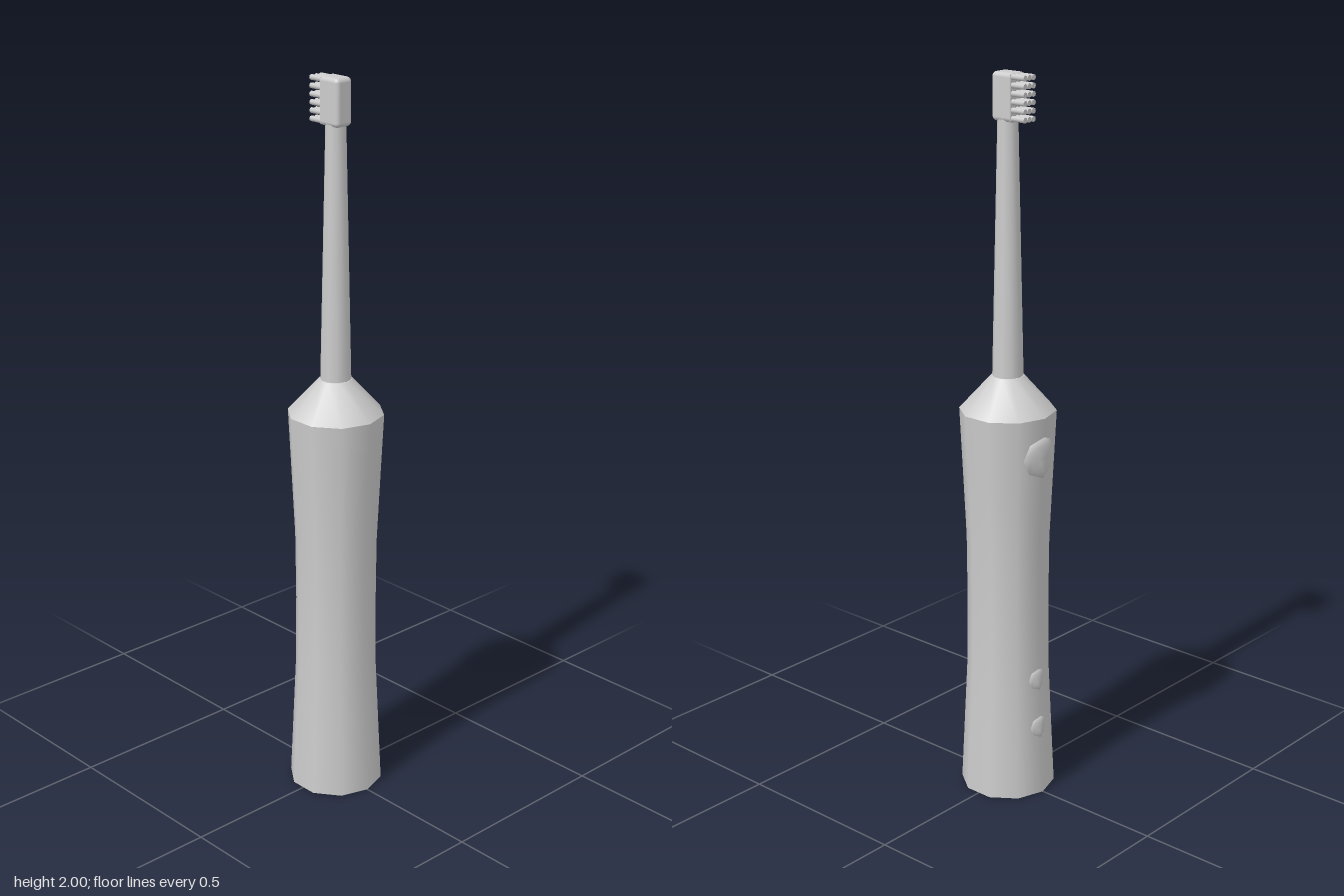
import * as THREE from 'three';
import { RoundedBoxGeometry } from 'three/addons/geometries/RoundedBoxGeometry.js';

const SIDES = 10;
const CZ = 0.001; // axis of the handle
const profile = [[0.131, 0], [0.122, 0.19], [0.1135, 0.37], [0.112, 0.55], [0.1135, 0.74], [0.122, 0.92], [0.131, 1.105]];

// Handle radius at a height
function radiusAt(y) {
  for (let i = 1; i < profile.length; i++) {
    const [r0, y0] = profile[i - 1], [r1, y1] = profile[i];
    if (y <= y1) return r0 + (r1 - r0) * (y - y0) / (y1 - y0);
  }
  return profile[profile.length - 1][0];
}

// Low dome that follows the two back facets of the handle
function buttonGeometry(cy, radius, lift) {
  const rings = [[0.35, 1], [0.72, 0.95], [1, 0.1], [1, -1]];
  const n = 8, pos = [], idx = [];
  const add = (x, y, k) => pos.push(x, y, CZ - (radiusAt(y) - Math.abs(x) * Math.tan(Math.PI / SIDES) + lift * k));
  add(0, cy, 1);
  for (const [s, k] of rings) {
    for (let i = 0; i < n; i++) {
      const a = (i / n) * Math.PI * 2;
      add(Math.cos(a) * radius * s, cy + Math.sin(a) * radius * s, k);
    }
  }
  for (let i = 0; i < n; i++) {
    const j = (i + 1) % n;
    idx.push(0, 1 + j, 1 + i);
    for (let r = 0; r < rings.length - 1; r++) {
      const a = 1 + r * n, b = a + n;
      idx.push(a + i, a + j, b + i, a + j, b + j, b + i);
    }
  }
  const g = new THREE.BufferGeometry();
  g.setAttribute('position', new THREE.Float32BufferAttribute(pos, 3));
  g.setIndex(idx);
  g.computeVertexNormals();
  return g;
}

export function createModel() {
  const group = new THREE.Group();
  group.name = 'electricToothbrush';
  const grey = new THREE.MeshStandardMaterial({ color: 0xcccccc });
  grey.name = 'light grey';

  const add = (name, geometry, x = 0, y = 0, z = 0, parent = group) => {
    const mesh = new THREE.Mesh(geometry, grey);
    mesh.name = name;
    mesh.position.set(x, y, z);
    parent.add(mesh);
    return mesh;
  };
  const lathe = (name, points) =>
    add(name, new THREE.LatheGeometry(points.map(p => new THREE.Vector2(...p)), SIDES), 0, 0, CZ);

  // Handle, base, sloped collar and neck
  lathe('handle', profile);
  lathe('base', [[0, 0], [0.131, 0]]);
  lathe('collar', [[0.131, 1.105], [0.045, 1.2]]);
  lathe('collarTop', [[0.045, 1.2], [0, 1.2]]);
  lathe('neck', [[0.042, 1.195], [0.027, 1.885]]);

  // Brush head: rounded in front, cut flat behind
  const head = new RoundedBoxGeometry(0.055, 0.125, 0.09, 3, 0.012);
  const p = head.attributes.position;
  for (let i = 0; i < p.count; i++) {
    if (p.getZ(i) < -0.018) p.setZ(i, -0.018);
  }
  add('brushHead', head, 0, 1.9375, -0.01);
  // Flat plate carrying the bristles
  add('bristlePlate', new THREE.BoxGeometry(0.051, 0.117, 0.004), 0, 1.9375, -0.0275);

  // Bristle tufts
  const bristles = new THREE.Group();
  bristles.name = 'bristles';
  group.add(bristles);
  const tuft = new THREE.CylinderGeometry(0.0075, 0.0075, 0.05, 8).rotateX(-Math.PI / 2);
  for (let row = 0; row < 6; row++) {
    for (let col = -1; col <= 1; col++) {
      add('tuft', tuft, col * 0.0163, 1.885 + row * 0.021, -0.047, bristles);
    }
  }

  // Power button and two indicator lights on the back
  add('powerButton', buttonGeometry(0.995, 0.058, 0.008));
  add('upperIndicator', buttonGeometry(0.343, 0.031, 0.004));
  add('lowerIndicator', buttonGeometry(0.2, 0.031, 0.004));

  return group;
}
